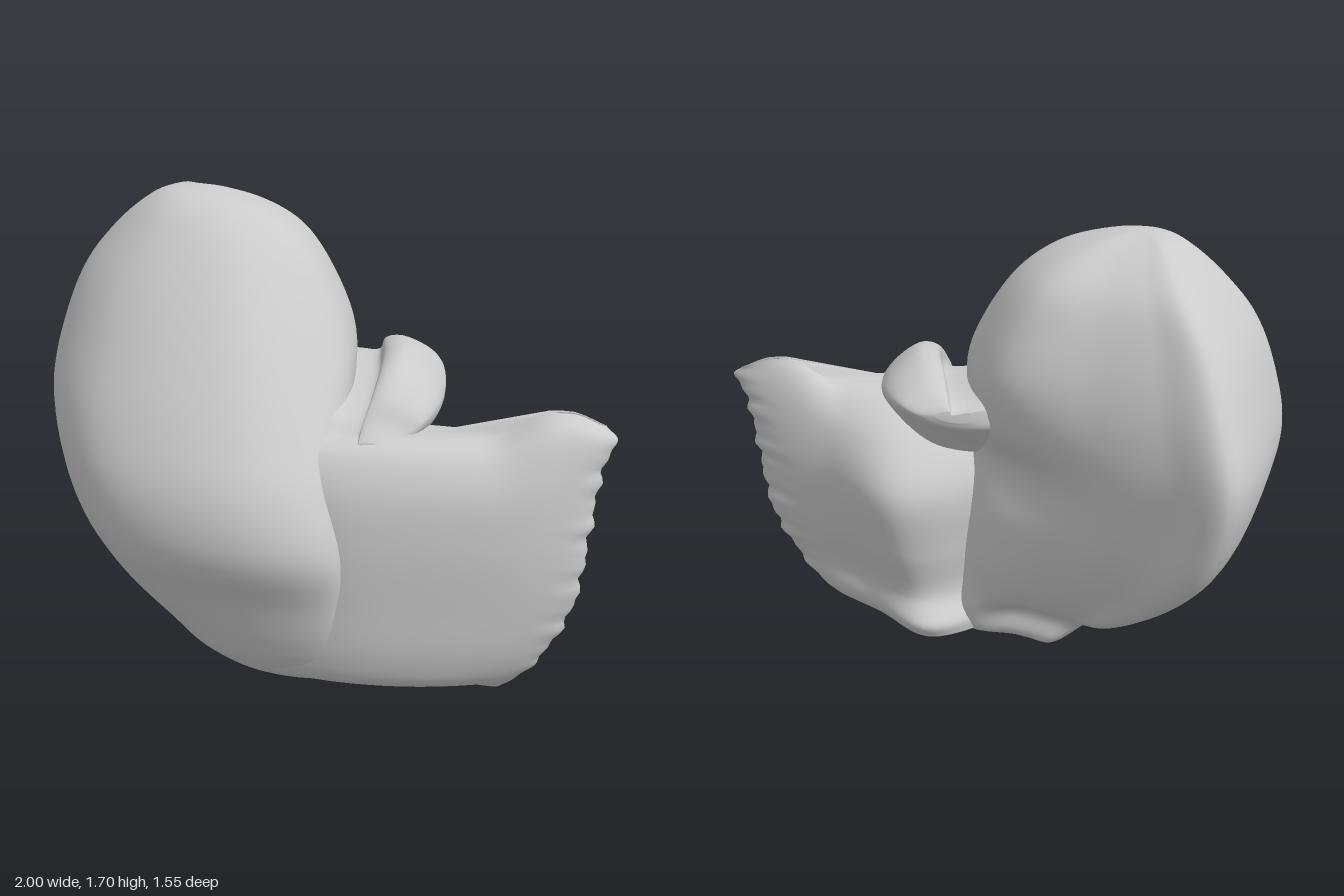
import * as THREE from 'three';

const { lerp, smoothstep } = THREE.MathUtils;

// Smooth closed skin through rows of matching control points
function loft(rows, name, around = 80, along = 70) {
  const rings = rows.map((row) => new THREE.CatmullRomCurve3(row, true, 'centripetal'));
  const pts = [];
  const columns = Array.from({ length: around }, (_, i) =>
    new THREE.CatmullRomCurve3(rings.map((r) => r.getPoint(i / around)), false, 'centripetal'));
  for (let j = 0; j <= along; j++) for (const col of columns) pts.push(col.getPoint(j / along));
  const index = [];
  for (let j = 0; j < along; j++) {
    for (let i = 0; i < around; i++) {
      const a = j * around + i, b = j * around + (i + 1) % around;
      index.push(a, a + around, b, b, a + around, b + around);
    }
  }
  // End caps
  for (const start of [0, along * around]) {
    const centre = new THREE.Vector3();
    for (let i = 0; i < around; i++) centre.addScaledVector(pts[start + i], 1 / around);
    const n = pts.push(centre) - 1;
    for (let i = 0; i < around; i++) {
      const a = start + i, b = start + (i + 1) % around;
      index.push(n, ...(start === 0 ? [a, b] : [b, a]));
    }
  }
  // Turn the faces outwards if the rows run the other way
  let volume = 0;
  const cross = new THREE.Vector3();
  for (let i = 0; i < index.length; i += 3) {
    volume += pts[index[i]].dot(cross.crossVectors(pts[index[i + 1]], pts[index[i + 2]]));
  }
  if (volume < 0) index.reverse();
  const geometry = new THREE.BufferGeometry().setFromPoints(pts);
  geometry.setIndex(index);
  geometry.computeVertexNormals();
  const mesh = new THREE.Mesh(geometry, new THREE.MeshStandardMaterial({ color: 0xcccccc }));
  mesh.name = name;
  return mesh;
}

// Outline given in a unit square, fitted between the limits of one section
const fit = (outline, u0, u1, v0, v1) => outline.map(([u, v]) => [lerp(u0, u1, u), lerp(v0, v1, v)]);

// Large lobe: rounded left and front, pointed back, flat diagonal inner face
function largeLobe() {
  // The inner and front corners move in and out with height
  const outline = (inner, front) => [[0, 0.54], [0.07, 0.29], [0.29, 0], [0.46, 0.1], [0.64, 0.21],
    [0.93, inner], [1, 0.65], [0.95, front], [0.67, 1], [0.21, 0.87]];
  // y, inner and front corners, then x and z limits
  const sections = [
    [0, 0.35, 0.85, -0.23, 0, 0.1, 0.34],
    [0.05, 0.3, 0.9, -0.34, 0.16, 0, 0.5],
    [0.15, 0.25, 0.95, -0.48, 0.17, -0.06, 0.6],
    [0.24, 0.38, 0.96, -0.59, 0.16, -0.25, 0.64],
    [0.4, 0.43, 0.96, -0.77, 0.15, -0.46, 0.69],
    [0.6, 0.47, 0.95, -0.9, 0.13, -0.65, 0.77],
    [0.8, 0.52, 0.93, -0.97, 0.1, -0.74, 0.75],
    [1, 0.42, 0.89, -1, 0.11, -0.77, 0.65],
    [1.2, 0.38, 0.84, -0.96, 0.11, -0.71, 0.52],
    [1.4, 0.38, 0.84, -0.88, 0.03, -0.6, 0.37],
    [1.54, 0.36, 0.85, -0.77, -0.07, -0.47, 0.25],
    [1.63, 0.36, 0.87, -0.67, -0.2, -0.31, 0.15],
    [1.68, 0.36, 0.87, -0.59, -0.35, -0.18, 0.05],
    [1.695, 0.36, 0.87, -0.52, -0.43, -0.1, -0.02],
  ];
  const rows = sections.map(([y, inner, front, ...box]) =>
    fit(outline(inner, front), ...box).map(([x, z]) => new THREE.Vector3(x, y, z)));
  return loft(rows, 'largeLobe');
}

// Small lobe: wedge tapering to a thin, slightly ragged outer edge
function smallLobe() {
  // y, outer tip x and z, back corner x and z, front z
  const sections = [
    [0.05, 0.64, 0.51, 0.28, 0.08, 0.53],
    [0.1, 0.7, 0.53, 0.3, 0.06, 0.62],
    [0.2, 0.78, 0.56, 0.31, 0.12, 0.66],
    [0.4, 0.88, 0.57, 0.36, 0.08, 0.68],
    [0.65, 0.92, 0.57, 0.4, 0.05, 0.69],
    [0.83, 0.95, 0.55, 0.39, 0.16, 0.67],
    [0.94, 0.99, 0.54, 0.37, 0.31, 0.61],
    [0.975, 0.97, 0.51, 0.37, 0.41, 0.53],
  ];
  const rows = sections.map(([y, tipX, tipZ, backX, backZ, front]) => [
    [-0.24, lerp(backZ, front, 0.75)], [0.02, front - 0.03], [0.3, front], [tipX * 0.81, front - 0.03], [tipX, tipZ],
    [(tipX + backX) / 2, (tipZ + backZ) / 2], [backX, backZ], [0.04, lerp(backZ, front, 0.2)],
  ].map(([x, z]) => new THREE.Vector3(x, y, z)));
  const mesh = loft(rows, 'smallLobe');
  // Raise the outer upper corner and ripple the edge
  const pos = mesh.geometry.attributes.position;
  for (let i = 0; i < pos.count; i++) {
    const x = pos.getX(i);
    const hump = smoothstep(x, 0.58, 0.8) - 0.45 * smoothstep(x, 0.84, 0.99);
    const y = pos.getY(i) + 0.09 * hump * smoothstep(pos.getY(i), 0.7, 0.97);
    const edge = smoothstep(x + 0.25 * (1 - y), 0.88, 1);
    pos.setXY(i, x + 0.006 * edge * (Math.sin(y * 47) + Math.sin(y * 83 + 1)), y);
  }
  mesh.geometry.computeVertexNormals();
  return mesh;
}

// Rear flap: rounded crest joined to the large lobe by a low bridge
function rearFlap() {
  const outline = [[0, 0.77], [0.37, 0.69], [0.52, 0.72], [0.56, 0.95], [0.71, 1],
    [1, 0.67], [0.92, 0.41], [0.56, 0], [0, 0]];
  // z, then x and y limits
  const sections = [
    [-0.155, 0.13, 0.25, 1.04, 1.08],
    [-0.14, 0.06, 0.31, 1.01, 1.1],
    [-0.09, 0, 0.37, 0.98, 1.14],
    [0.05, -0.05, 0.42, 0.89, 1.18],
    [0.2, -0.05, 0.43, 0.8, 1.19],
    [0.36, -0.05, 0.41, 0.8, 1.16],
    [0.47, -0.04, 0.36, 0.85, 1.09],
    [0.52, -0.02, 0.3, 0.86, 1.02],
    [0.57, 0, 0.26, 0.88, 0.96],
  ];
  const rows = sections.map(([z, ...box]) => fit(outline, ...box).map(([x, y]) => new THREE.Vector3(x, y, z)));
  return loft(rows, 'rearFlap');
}

export function createModel() {
  const group = new THREE.Group();
  group.name = 'lobedOrgan';
  group.add(largeLobe(), smallLobe(), rearFlap());
  return group;
}
